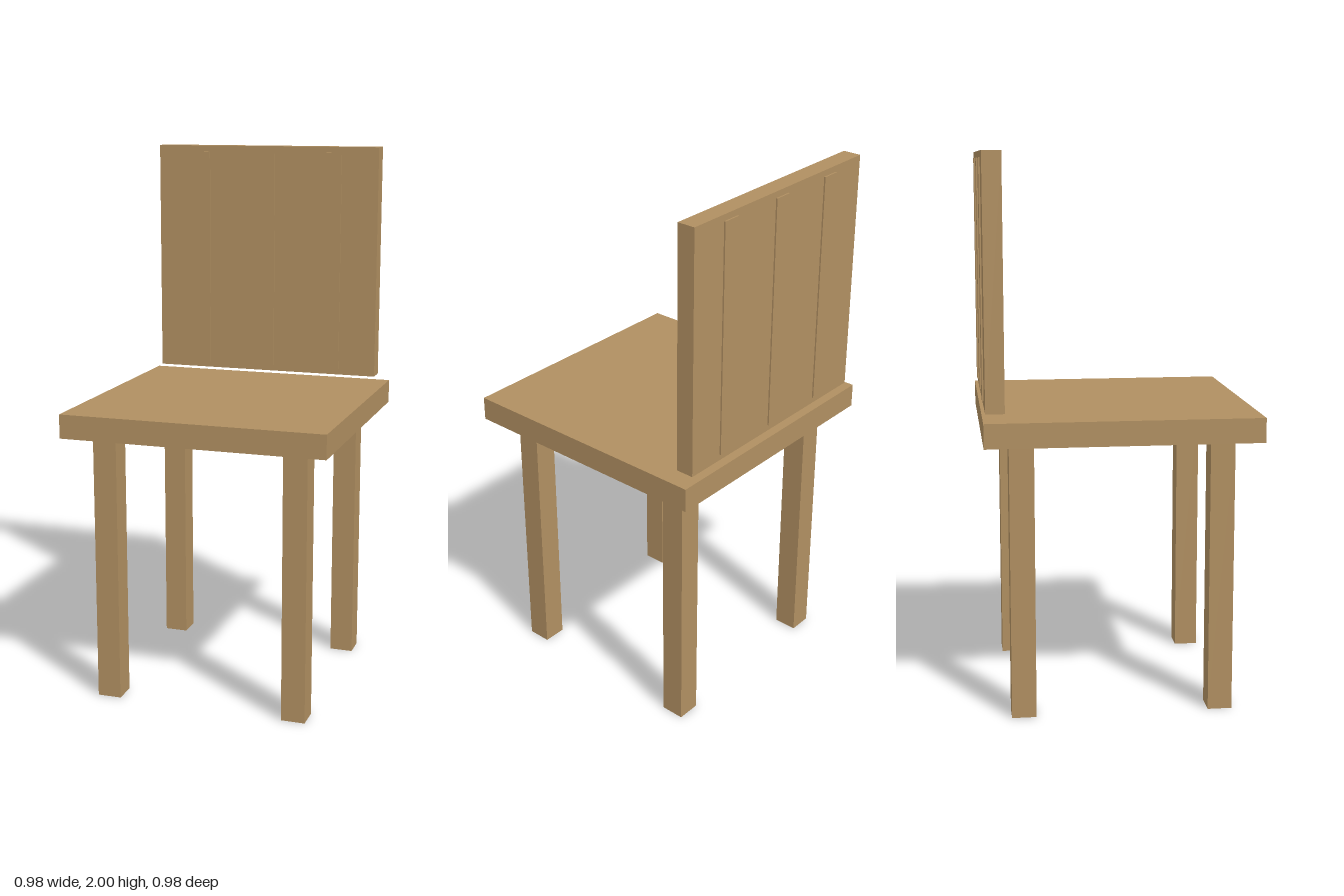
import * as THREE from 'three';

export function createModel() {
  const chair = new THREE.Group();
  chair.name = 'chair';
  const wood = new THREE.MeshStandardMaterial({ color: 0xb08f61 });
  wood.name = 'wood';

  const addBox = (name, size, position) => {
    const mesh = new THREE.Mesh(new THREE.BoxGeometry(...size), wood);
    mesh.name = name;
    mesh.position.set(...position);
    chair.add(mesh);
  };

  // Square seat slab
  addBox('seat', [0.978, 0.088, 0.978], [0, 1.046, 0]);

  // Four square legs, set in from the seat corners
  for (const [side, x] of [['Left', 0.356], ['Right', -0.356]]) {
    for (const [end, z] of [['front', 0.356], ['back', -0.356]]) {
      addBox(`${end}${side}Leg`, [0.088, 1.002, 0.088], [x, 0.501, z]);
    }
  }

  // Backrest panel, floating just above the seat
  addBox('backrest', [0.889, 0.885, 0.067], [0, 1.5575, -0.447]);

  // Three slats standing slightly proud of both faces of the panel
  ['rightSlat', 'middleSlat', 'leftSlat'].forEach((name, i) => {
    addBox(name, [0.067, 0.84, 0.078], [(i - 1) * 0.267, 1.5575, -0.447]);
  });

  return chair;
}
